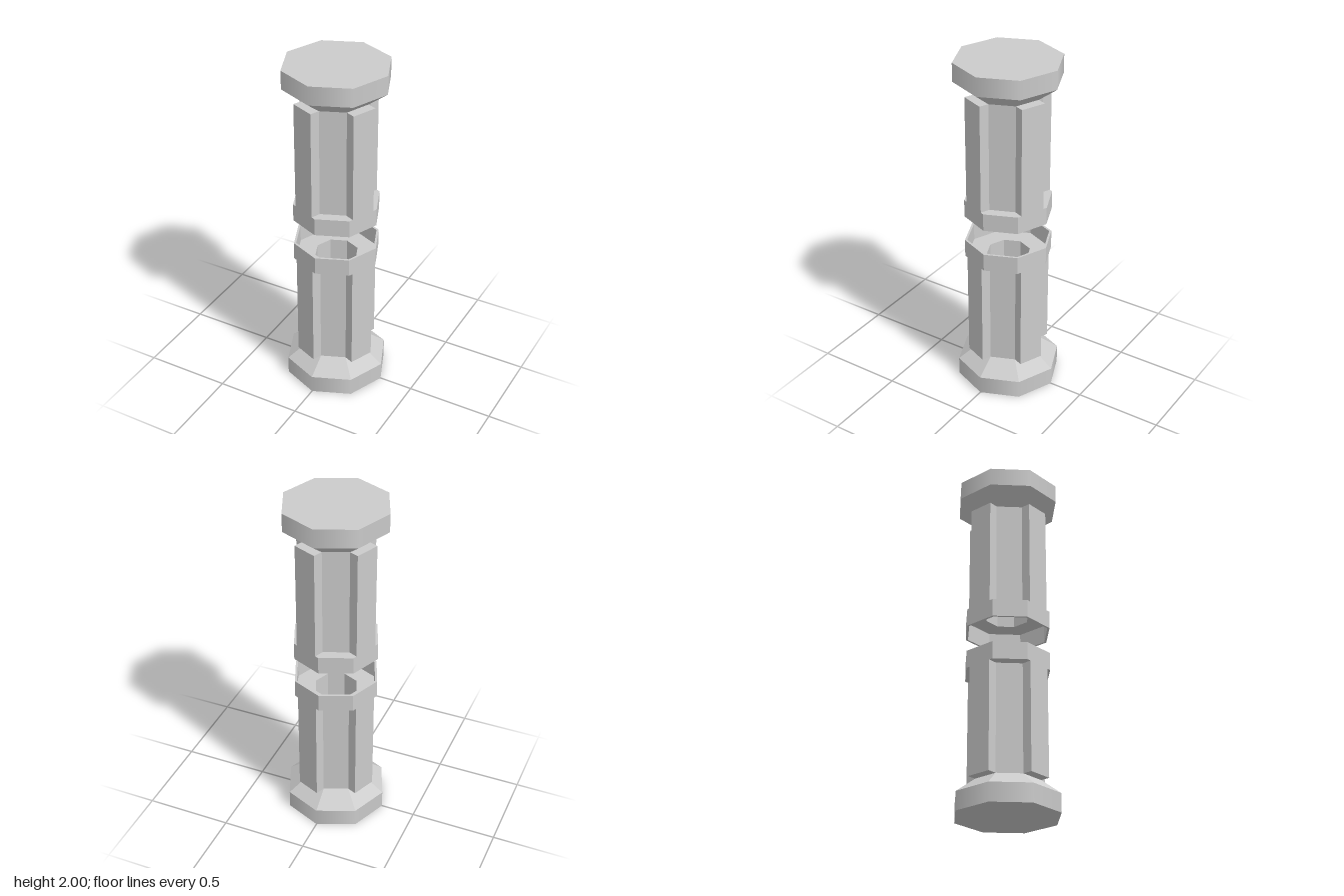
import * as THREE from 'three';

const SIDES = 8;
const CORE = 0.19;   // corner radius of the shaft
const RING = 0.25;   // corner radius of the collar
const APOTHEM = Math.cos(Math.PI / SIDES);

const flat = new THREE.MeshStandardMaterial({ color: 0xcccccc, flatShading: true });
const smooth = new THREE.MeshStandardMaterial({ color: 0xcccccc });

// Eight-sided turned part; the profile runs upwards along its outside
function turned(name, profile, material = flat) {
  const points = profile.map(([r, y]) => new THREE.Vector2(r, y));
  const mesh = new THREE.Mesh(new THREE.LatheGeometry(points, SIDES), material);
  mesh.name = name;
  return mesh;
}

function createHalf(name) {
  const half = new THREE.Group();
  half.name = name;

  // End cap: flat end, softly shaded rim and tapered shoulder
  half.add(turned('capEnd', [[0, 0], [0.3, 0]]));
  half.add(turned('capRim', [[0.3, 0], [0.3, 0.107]], smooth));
  half.add(turned('capShoulder', [[0.3, 0.107], [CORE, 0.19]]));

  // Shaft and hollow collar with a recessed floor and a central bore
  half.add(turned('shaft', [[CORE, 0.19], [CORE, 0.82]]));
  half.add(turned('collar', [
    [CORE, 0.82], [RING, 0.82], [RING, 0.923], [0.237, 0.923], [0.237, 0.82], [0.125, 0.82],
  ]));
  half.add(turned('bore', [[0.125, 0.82], [0.125, 0.2], [0, 0.2]]));

  // Raised panels on every other face of the shaft, flush with the collar
  const inner = CORE * APOTHEM - 0.01;
  const outer = RING * APOTHEM;
  const width = 2 * CORE * Math.sin(Math.PI / SIDES);
  const panel = new THREE.BoxGeometry(width, 0.63, outer - inner);
  panel.translate(0, 0.505, (inner + outer) / 2);
  for (let i = 0; i < 4; i++) {
    const mesh = new THREE.Mesh(panel, flat);
    mesh.name = 'raisedPanel' + (i + 1);
    mesh.rotation.y = -Math.PI / SIDES + i * Math.PI / 2;
    half.add(mesh);
  }
  return half;
}

export function createModel() {
  const model = new THREE.Group();
  model.name = 'splitColumn';
  model.add(createHalf('lowerHalf'));

  // Upper half: turned over, with an eighth turn so the panels line up
  const upper = createHalf('upperHalf');
  upper.rotation.set(Math.PI, Math.PI / 4, 0);
  upper.position.y = 2;
  model.add(upper);
  return model;
}
